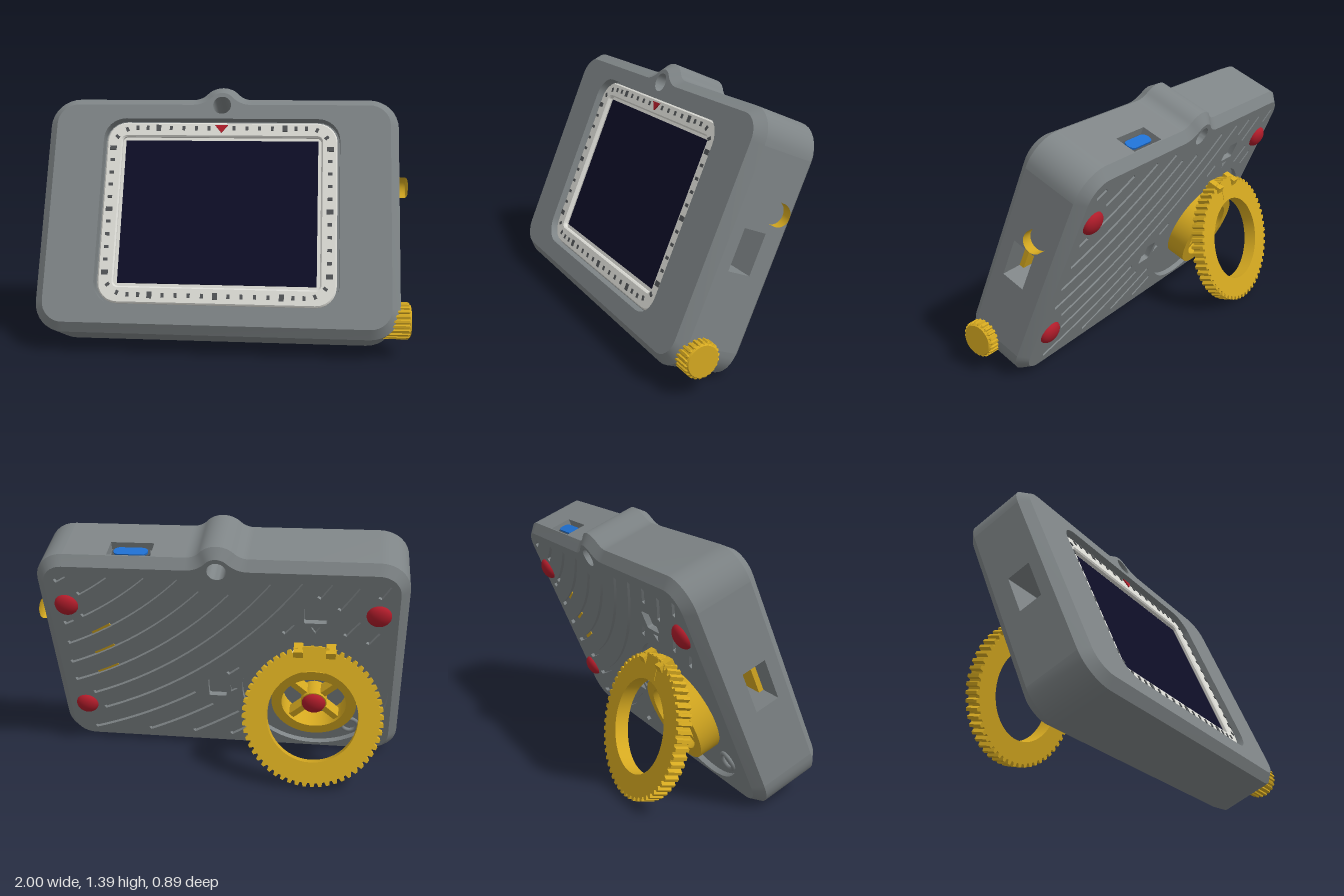
import * as THREE from 'three';
import { toCreasedNormals } from 'three/addons/utils/BufferGeometryUtils.js';

const PI = Math.PI;
const mat = (name, color, side = THREE.FrontSide) => {
  const m = new THREE.MeshStandardMaterial({ color, side });
  m.name = name;
  return m;
};
const V = (x, y) => new THREE.Vector2(x, y);

// body: half width, bottom, top, corner radius, chamfer, front and back planes
const W = 0.9675, B = -0.056, T = 1.258, R = 0.16, C = 0.047, FRONT = 0.48, BACK = 0.09;
const EYE = 1.209, DISC = V(-0.5, 0.41);

function arc(cx, cy, r, a0, a1, n = 8) {
  return Array.from({ length: n + 1 }, (_, i) => {
    const a = a0 + (a1 - a0) * i / n;
    return V(cx + r * Math.cos(a), cy + r * Math.sin(a));
  });
}
const circle = (cx, cy, r, n = 32) => arc(cx, cy, r, 0, 2 * PI, n).slice(0, n);
const roundRect = (cx, cy, w, h, r) => [[1, 1], [-1, 1], [-1, -1], [1, -1]].flatMap(([sx, sy], k) =>
  arc(cx + sx * (w / 2 - r), cy + sy * (h / 2 - r), r, k * PI / 2, (k + 1) * PI / 2, 6));
const rect = (x0, y0, x1, y1) => [V(x0, y0), V(x1, y0), V(x1, y1), V(x0, y1)];
function gearPoints(root, tip, n) {
  const p = [];
  for (let i = 0; i < n; i++) [[0, root], [0.3, root], [0.45, tip], [0.85, tip]].forEach(([f, r]) => {
    const a = (i + f) / n * 2 * PI;
    p.push(V(r * Math.cos(a), r * Math.sin(a)));
  });
  return p;
}
function shapeOf(pts, holes = []) {
  const s = new THREE.Shape(pts);
  s.holes = holes.map(h => new THREE.Path(h));
  return s;
}
const extrude = (pts, holes, depth, bevel = 0) => toCreasedNormals(new THREE.ExtrudeGeometry(shapeOf(pts, holes), {
  depth, bevelEnabled: bevel > 0, bevelSize: bevel, bevelThickness: bevel, bevelOffset: -bevel, bevelSegments: 1 }), 0.5);

// rounded outline with the hanging-eye bump on top
function outline(i) {
  const rf = 0.1, dy = T + rf - EYE, xf = Math.sqrt((0.12 + rf) ** 2 - dy * dy), p = Math.atan2(dy, xf);
  return [
    ...arc(-W + R, B + R, R - i, PI, 1.5 * PI), ...arc(W - R, B + R, R - i, 1.5 * PI, 2 * PI),
    ...arc(W - R, T - R, R - i, 0, PI / 2), ...arc(xf, T + rf, rf + i, 1.5 * PI, PI + p),
    ...arc(0, EYE, 0.12 - i, p, PI - p, 12), ...arc(-xf, T + rf, rf + i, -p, -PI / 2),
    ...arc(-W + R, T - R, R - i, PI / 2, PI)];
}
// band of quads between two loops
function band(a, za, b, zb, skip = []) {
  const pos = [];
  a.forEach((p, i) => {
    if (skip.includes(i)) return;
    const j = (i + 1) % a.length, q = a[j], r = b[j], s = b[i];
    pos.push(p.x, p.y, za, q.x, q.y, za, r.x, r.y, zb, p.x, p.y, za, r.x, r.y, zb, s.x, s.y, zb);
  });
  const g = new THREE.BufferGeometry();
  g.setAttribute('position', new THREE.Float32BufferAttribute(pos, 3));
  return toCreasedNormals(g, 0.5);
}

export function createModel() {
  const grey = mat('caseGrey', 0x7e8486, THREE.DoubleSide), yellow = mat('yellow', 0xd4a820);
  const red = mat('red', 0xb01c2a), white = mat('bezelWhite', 0xdcdcd6), navy = mat('screenNavy', 0x0d0d26);
  const blue = mat('portBlue', 0x1f6fd0), dark = mat('tickGrey', 0x505355);

  const model = new THREE.Group(), body = new THREE.Group();
  body.name = 'tiltedBody';
  body.position.x = -0.0325;
  body.rotation.x = -0.405;
  model.add(body);
  const add = (name, geo, m, x = 0, y = 0, z = 0, parent = body) => {
    const mesh = new THREE.Mesh(geo, m);
    mesh.name = name;
    mesh.position.set(x, y, z);
    parent.add(mesh);
    return mesh;
  };
  const box = (name, m, x0, x1, y0, y1, z0, z1, parent) =>
    add(name, new THREE.BoxGeometry(x1 - x0, y1 - y0, z1 - z0), m, (x0 + x1) / 2, (y0 + y1) / 2, (z0 + z1) / 2, parent);

  // flat panel with sunken pockets; the axes orient it on the case
  function panel(name, pts, pockets, ax, ay, az, at) {
    const g = new THREE.Group();
    g.name = name;
    g.quaternion.setFromRotationMatrix(new THREE.Matrix4().makeBasis(ax, ay, az));
    g.position.copy(at);
    body.add(g);
    add(name + 'Face', new THREE.ShapeGeometry(shapeOf(pts, pockets.map(p => p.pts))), grey, 0, 0, 0, g);
    pockets.forEach(({ pts: p, depth, open }) => {
      if (!depth) return;
      const loop = THREE.ShapeUtils.isClockWise(p) ? [...p].reverse() : p;
      add('recessWall', band(loop, 0, loop, -depth), grey, 0, 0, 0, g);
      if (!open) add('recessFloor', new THREE.ShapeGeometry(shapeOf(loop)), grey, 0, 0, -depth, g);
    });
  }
  const X = new THREE.Vector3(1, 0, 0), Y = new THREE.Vector3(0, 1, 0), Z = new THREE.Vector3(0, 0, 1);
  const neg = v => v.clone().negate(), at = (x, y, z) => new THREE.Vector3(x, y, z);

  // chamfered shell, leaving out the walls that hold openings
  const inner = outline(C), outer = outline(0), last = outer.length - 1;
  add('backChamfer', band(inner, BACK, outer, BACK + C), grey);
  add('caseSides', band(outer, BACK + C, outer, FRONT - C, [17, 26, last]), grey);
  add('frontChamfer', band(outer, FRONT - C, inner, FRONT), grey);

  // front with screen recess and hanging eye
  const eye = circle(0, EYE, 0.05);
  panel('front', inner, [
    { pts: roundRect(0, 0.61, 1.3, 1.04, 0.12), depth: 0.06 },
    { pts: eye, depth: FRONT - BACK, open: true }], X, Y, Z, at(0, 0, FRONT));

  // side walls joined by a through slot
  const wall = s => rect(s * (BACK + C), B + R, s * (FRONT - C), T - R);
  const slot = s => rect(s * 0.237, 0.493, s * 0.368, 0.71);
  panel('leftWall', wall(-1), [{ pts: slot(-1), depth: 2 * W, open: true }], neg(Z), Y, X, at(W, 0, 0));
  panel('rightWall', wall(1), [{ pts: slot(1), depth: 0 }], Z, Y, neg(X), at(-W, 0, 0));
  box('slotRail', yellow, -0.85, 0.85, 0.495, 0.708, 0.34, 0.367);

  // top wall with connector port
  panel('topWall', rect(outer[27].x, -FRONT + C, outer[26].x, -BACK - C),
    [{ pts: rect(0.343, -0.257, 0.573, -0.143), depth: 0.045 }], X, neg(Z), Y, at(0, T, 0));
  const port = (name, m, w, h, y) => {
    add(name, extrude(roundRect(0, 0, w, h, h / 2 - 0.001), [], 0.02), m, 0.458, y, 0.2).rotation.x = -PI / 2;
  };
  port('portRim', dark, 0.205, 0.085, T - 0.042);
  port('port', blue, 0.18, 0.062, T - 0.032);

  // back: curved grooves that keep clear of the feet, stand and marks
  const feet = [V(0.82, 0.965), V(-0.82, 0.965), V(0.82, 0.235)];
  const marks = [V(DISC.x, 0.94), V(0.03, DISC.y)];
  const clear = p => Math.abs(p.x) < 0.87 && p.y > 0.04 && p.y < 1.16 && p.distanceTo(DISC) > 0.44
    && p.distanceTo(V(0, EYE)) > 0.14 && feet.every(f => p.distanceTo(f) > 0.1) && marks.every(m => p.distanceTo(m) > 0.12);
  const gc = V(1.73, 2.6), grooves = [];
  const polar = (r, a) => V(gc.x + r * Math.cos(a), gc.y + r * Math.sin(a));
  const flip = pts => pts.map(p => V(-p.x, p.y));
  const strip = (r, a0, a1, h, n) => [...arc(gc.x, gc.y, r + h, a0, a1, n), ...arc(gc.x, gc.y, r - h, a1, a0, n)];
  for (let r = 1.72; r < 3.7; r += 0.125) {
    let start = null;
    for (let a = PI; a <= 1.5 * PI + 0.02; a += 0.01) {
      const ok = a <= 1.5 * PI && clear(polar(r, a));
      if (ok && start === null) start = a;
      if (!ok && start !== null) {
        if (a - start > 0.03) grooves.push({ pts: flip(strip(r, start, a - 0.01, 0.011, 14)), depth: 0.02 });
        start = null;
      }
    }
    // vents show the yellow inside
    const a = PI + Math.acos(1.07 / r), y = polar(r, a).y;
    if (y > 0.47 && y < 0.86)
      add('ventInsert', extrude(strip(r, a - 0.03, a + 0.03, 0.009, 4), [], 0.005), yellow, 0, 0, BACK + 0.012);
  }
  panel('back', flip(inner).reverse(), [
    { pts: eye, depth: 0 }, { pts: circle(-DISC.x, DISC.y, 0.4, 64), depth: 0.03 },
    { pts: roundRect(-marks[0].x, 0.95, 0.12, 0.1, 0.01), depth: 0.03 },
    { pts: roundRect(-marks[1].x - 0.01, DISC.y, 0.1, 0.12, 0.01), depth: 0.03 },
    { pts: [V(-DISC.x - 0.025, 0.875), V(-DISC.x, 0.835), V(-DISC.x + 0.025, 0.875)], depth: 0.015 },
    { pts: [V(0.035, 0.385), V(0.075, 0.41), V(0.035, 0.435)], depth: 0.015 },
    ...grooves], neg(X), Y, neg(Z), at(0, 0, BACK));
  add('discEyelet', new THREE.TorusGeometry(0.045, 0.012, 8, 24), grey, -0.7, 0.15, BACK + 0.025);

  // rubber feet
  const dome = (x, y, z) => add('foot', new THREE.SphereGeometry(0.064, 24, 16), red, x, y, z).scale.set(1, 1, 0.6);
  feet.forEach(f => dome(f.x, f.y, BACK));
  dome(DISC.x, DISC.y, 0.008);

  // bezel, screen and sixty tick marks
  add('bezel', extrude(roundRect(0, 0.61, 1.275, 1.015, 0.11), [roundRect(0, 0.615, 1.1, 0.84, 0.025)], 0.014, 0.008),
    white, 0, 0, 0.428);
  box('screen', navy, -0.533, 0.533, 0.214, 1.018, 0.42, 0.43);
  add('screenSurround', new THREE.PlaneGeometry(1.12, 0.86), white, 0, 0.615, 0.4215);
  const topX = [0, 0.07, 0.14, 0.21, 0.28, 0.35, 0.41, 0.468];
  const quarter = topX.map(x => [x, 0.467, 0]);
  quarter.push([0.525, 0.458, -0.4], [0.578, 0.415, -0.9]);
  for (let i = 5; i >= 0; i--) quarter.push([0.598, i * 0.07, PI / 2]);
  quarter.forEach(([x, y, a], k) => [1, -1].forEach(sx => [1, -1].forEach(sy => {
    if ((sx < 0 && k === 0) || (sy < 0 && k === 15) || (k === 0 && sy > 0)) return;
    const big = k % 5 === 0;
    add('tick', new THREE.BoxGeometry(big ? 0.026 : 0.016, big ? 0.036 : 0.024, 0.004), dark,
      sx * x, 0.615 + sy * y, 0.458).rotation.z = a * sx * sy;
  })));
  add('topPointer', extrude([V(-0.036, 1.1), V(0, 1.055), V(0.036, 1.1)], [], 0.006), red, 0, 0, 0.456);

  // side button and knurled knob
  const button = new THREE.LatheGeometry([V(0, 0.12), V(0.045, 0.12), V(0.054, 0.115), V(0.058, 0.105), V(0.058, 0)], 32);
  button.scale(-1, 1, 1);
  button.index.array.reverse();
  add('button', toCreasedNormals(button, 0.6), yellow, W - 0.058, 0.817, 0.238).rotation.z = -PI / 2;
  add('knob', extrude(gearPoints(0.088, 0.097, 22), [], 0.135, 0.008), yellow, 0.875, 0.059, 0.358).rotation.y = PI / 2;
  add('knobCap', new THREE.CylinderGeometry(0.082, 0.088, 0.01, 32), yellow, 1.018, 0.059, 0.358).rotation.z = -PI / 2;

  // stand base: ring, spokes, hub and hinge ears
  add('standBase', extrude(circle(0, 0, 0.23, 48), [circle(0, 0, 0.175, 48)], 0.115), yellow, DISC.x, DISC.y, 0.005);
  for (let i = 0; i < 2; i++)
    add('spoke', new THREE.BoxGeometry(0.37, 0.035, 0.07), yellow, DISC.x, DISC.y, 0.06).rotation.z = PI / 4 + i * PI / 2;
  add('hub', new THREE.CylinderGeometry(0.07, 0.07, 0.1, 32), yellow, DISC.x, DISC.y, 0.06).rotation.x = PI / 2;
  [-1, 1].forEach(s => box('hingeEar', yellow, DISC.x + s * 0.085 - 0.025, DISC.x + s * 0.085 + 0.025, 0.6, 0.772, 0.005, 0.085));
  add('hingePin', new THREE.CylinderGeometry(0.02, 0.02, 0.23, 8), white, DISC.x, 0.727, 0.046).rotation.z = PI / 2;

  // swung-out gear ring that props the case up
  const stand = new THREE.Group();
  stand.name = 'standGear';
  stand.position.set(DISC.x - 0.0325, 0.371, -0.322);
  stand.rotation.x = 0.241;
  model.add(stand);
  add('gearRing', extrude(gearPoints(0.35, 0.37, 56), [circle(0, 0, 0.24, 48)], 0.075), yellow, 0, 0, -0.0375, stand);
  box('hingeKnuckle', yellow, -0.055, 0.055, 0.25, 0.365, -0.04, 0.045, stand);
  return model;
}
